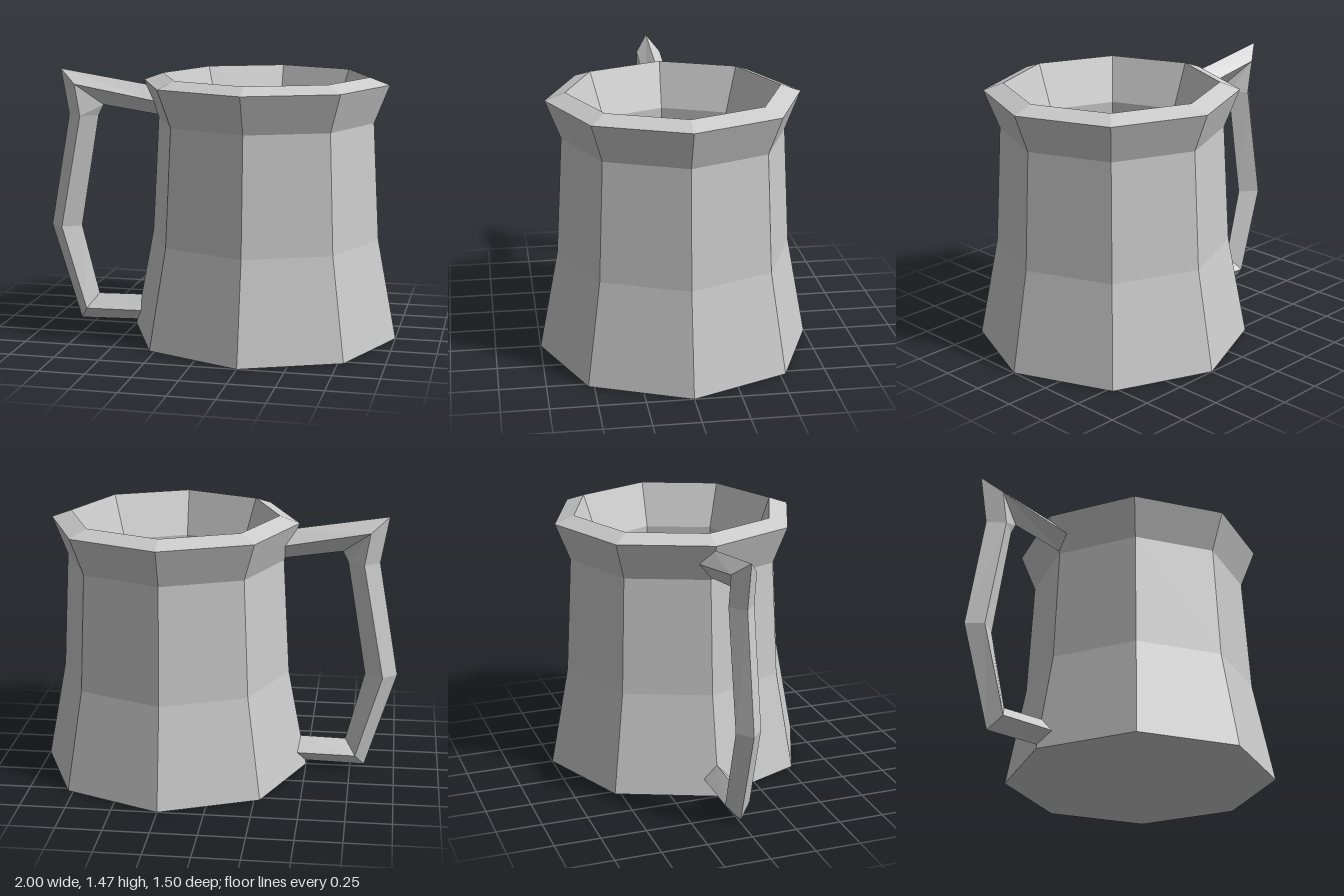
import * as THREE from 'three';

const material = new THREE.MeshStandardMaterial({ color: 0xcccccc, flatShading: true });

// Closed eight-sided vessel: underside, outer wall, rim, inner wall, floor
function createBody() {
  const profile = [
    [0, 0], [0.75, 0], [0.643, 0.56], [0.607, 1.21], [0.69, 1.42],
    [0.58, 1.46], [0.49, 1.21], [0.53, 0.56], [0.61, 0.1], [0, 0.1],
  ].map(([r, y]) => new THREE.Vector2(r, y));
  const body = new THREE.Mesh(new THREE.LatheGeometry(profile, 8), material);
  body.name = 'mugBody';
  body.position.x = 0.25;
  return body;
}

// Diamond-section bar; each station gives its outer ridge, side edges and inner ridge
function createHandle() {
  const halfWidth = 0.07;
  const stations = [
    [[-0.36, 1.382], [-0.35, 1.305], [-0.34, 1.22]],
    [[-0.93, 1.47], [-0.83, 1.39], [-0.68, 1.27]],
    [[-0.885, 1.21], [-0.80, 1.21], [-0.71, 1.21]],
    [[-1, 0.565], [-0.92, 0.565], [-0.82, 0.565]],
    [[-0.83, 0.015], [-0.78, 0.09], [-0.72, 0.168]],
    [[-0.43, 0.025], [-0.43, 0.095], [-0.43, 0.175]],
  ];
  const positions = [];
  for (const [outer, side, inner] of stations) {
    positions.push(...outer, 0, ...side, halfWidth, ...inner, 0, ...side, -halfWidth);
  }
  const index = [];
  for (let i = 0; i < stations.length - 1; i++) {
    for (let k = 0; k < 4; k++) {
      const a = i * 4 + k;
      const b = i * 4 + ((k + 1) % 4);
      index.push(a, a + 4, b, b, a + 4, b + 4);
    }
  }
  const geometry = new THREE.BufferGeometry();
  geometry.setAttribute('position', new THREE.Float32BufferAttribute(positions, 3));
  geometry.setIndex(index);
  const flat = geometry.toNonIndexed();
  flat.computeVertexNormals();
  const handle = new THREE.Mesh(flat, material);
  handle.name = 'handle';
  return handle;
}

export function createModel() {
  const mug = new THREE.Group();
  mug.name = 'mug';
  mug.add(createBody(), createHandle());
  return mug;
}
